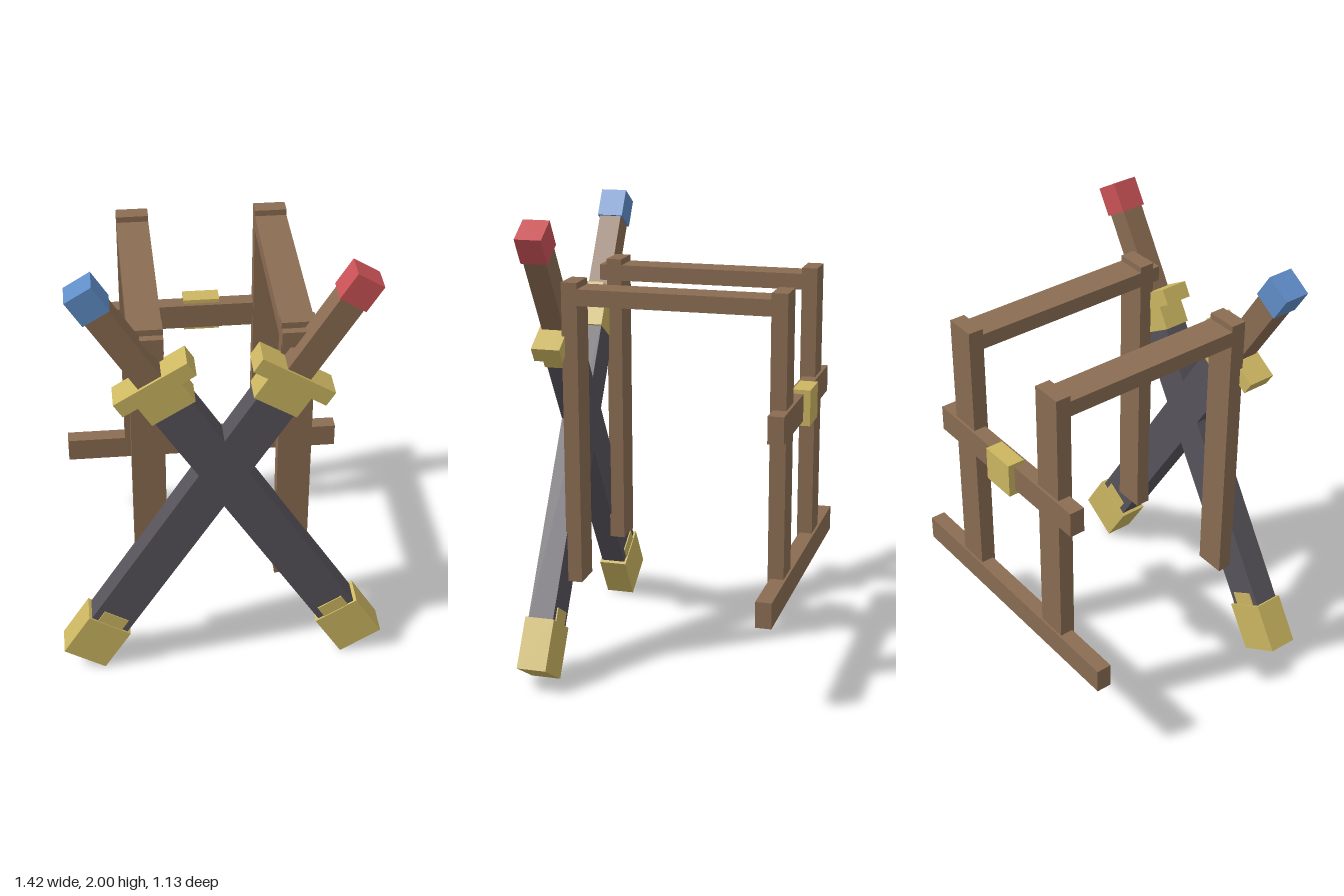
import * as THREE from 'three';

const mat = (name, color) => {
  const m = new THREE.MeshStandardMaterial({ color });
  m.name = name;
  return m;
};

export function createModel() {
  const wood = mat('brown wood', 0x8a6c52);
  const gold = mat('gold', 0xccb661);
  const steel = mat('dark sheath', 0x57535b);
  const red = mat('red', 0xca5256);
  const blue = mat('blue', 0x608dc8);

  const model = new THREE.Group();
  model.name = 'swordRack';

  // Box given by its lower and upper limits on each axis
  const box = (parent, name, material, [x0, x1], [y0, y1], [z0, z1]) => {
    const mesh = new THREE.Mesh(new THREE.BoxGeometry(x1 - x0, y1 - y0, z1 - z0), material);
    mesh.position.set((x0 + x1) / 2, (y0 + y1) / 2, (z0 + z1) / 2);
    mesh.name = name;
    parent.add(mesh);
  };

  // Wooden frame: two side frames joined by rails at the back
  const frame = new THREE.Group();
  frame.name = 'frame';
  model.add(frame);
  for (const [side, x] of [['left', [0.236, 0.376]], ['right', [-0.376, -0.236]]]) {
    box(frame, side + 'FrontPost', wood, x, [0.4, 1.727], [0.378, 0.447]);
    box(frame, side + 'BackPost', wood, x, [0.4, 1.727], [-0.522, -0.453]);
    box(frame, side + 'TopBar', wood, x, [1.63, 1.7], [-0.521, 0.48]);
  }
  box(frame, 'bottomRail', wood, [-0.65, 0.65], [0.39, 0.503], [-0.532, -0.463]);
  box(frame, 'middleRail', wood, [-0.474, 0.474], [1.122, 1.24], [-0.534, -0.465]);
  box(frame, 'backPlate', gold, [-0.082, 0.082], [1.1, 1.258], [-0.564, -0.485]);

  // Crossed swords, built upright around the crossing point and then tilted
  const sword = (name, side, pommelMaterial) => {
    const g = new THREE.Group();
    g.name = name;
    const part = (label, material, halfWidth, y, depth) =>
      box(g, label, material, [-halfWidth, halfWidth], y, [-depth / 2, depth / 2]);
    part('endCap', gold, 0.105, [-1.19, -0.965], 0.13);
    part('capCollar', gold, 0.06, [-0.97, -0.905], 0.122);
    part('sheath', steel, 0.09, [-1.0, 0.4], 0.112);
    part('guardCollar', gold, 0.104, [0.38, 0.5], 0.12);
    part('crossguard', gold, 0.175, [0.487, 0.558], 0.126);
    part('handle', wood, 0.055, [0.5, 0.95], 0.1);
    part('pommel', pommelMaterial, 0.063, [0.932, 1.06], 0.116);
    g.position.set(side * 0.005, 1.07, 0.497);
    g.rotation.z = -side * THREE.MathUtils.degToRad(31.8);
    model.add(g);
  };
  sword('redSword', 1, red);
  sword('blueSword', -1, blue);

  return model;
}
